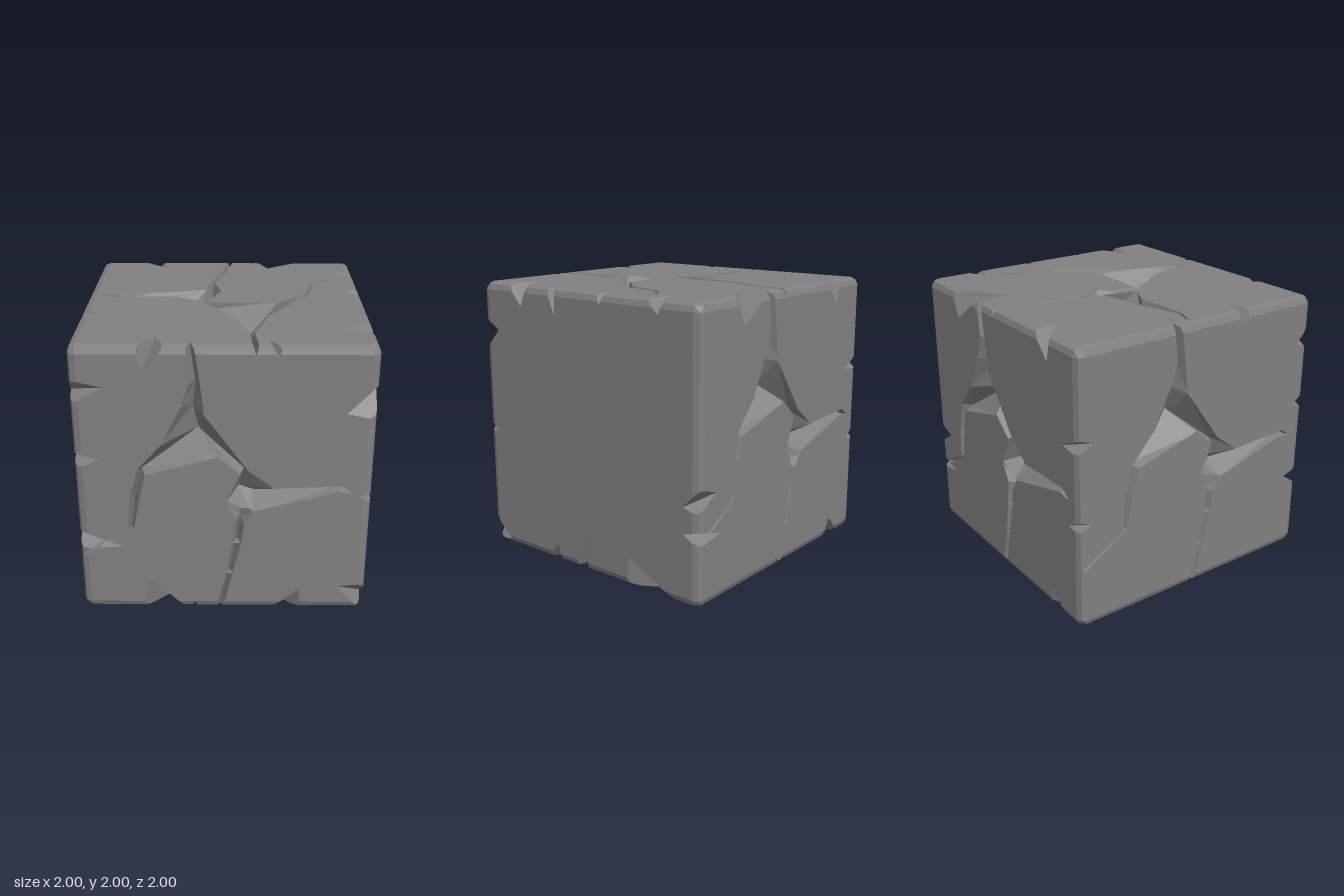
import * as THREE from 'three';
import { ConvexGeometry } from 'three/addons/geometries/ConvexGeometry.js';

const V = (x, y, z) => new THREE.Vector3(x, y, z);
const EPS = 1e-5;

// Convex solid as outward triangles plus their planes
function solid(points) {
  const p = new ConvexGeometry(points).getAttribute('position');
  const tris = [], planes = [];
  for (let i = 0; i < p.count; i += 3) {
    const t = [0, 1, 2].map((k) => V().fromBufferAttribute(p, i + k));
    const area = t[1].clone().sub(t[0]).cross(t[2].clone().sub(t[0])).length();
    if (area < 1e-7) continue;
    tris.push(t);
    planes.push(new THREE.Plane().setFromCoplanarPoints(...t));
  }
  return { tris, planes, box: new THREE.Box3().setFromPoints(points) };
}

// Split a convex polygon by a plane into [outside, inside]
function split(poly, plane) {
  const d = poly.map((p) => plane.distanceToPoint(p));
  if (Math.max(...d) <= EPS) return [null, poly];
  if (Math.min(...d) >= -EPS) return [poly, null];
  const out = [], inn = [];
  poly.forEach((p, i) => {
    const j = (i + 1) % poly.length;
    if (d[i] >= -EPS) out.push(p);
    if (d[i] <= EPS) inn.push(p);
    if ((d[i] > EPS && d[j] < -EPS) || (d[i] < -EPS && d[j] > EPS)) {
      const m = p.clone().lerp(poly[j], d[i] / (d[i] - d[j]));
      out.push(m);
      inn.push(m);
    }
  });
  return [out.length > 2 ? out : null, inn.length > 2 ? inn : null];
}

function keepInside(poly, planes) {
  for (const pl of planes) {
    poly = split(poly, pl)[1];
    if (!poly) return null;
  }
  return poly;
}

// Pieces of a polygon left outside a cutter
function keepOutside(poly, cutter) {
  if (!cutter.box.intersectsBox(new THREE.Box3().setFromPoints(poly))) return [poly];
  const pieces = [];
  let rest = poly;
  for (const pl of cutter.planes) {
    const [out, inn] = split(rest, pl);
    if (out) pieces.push(out);
    if (!inn) return [poly];
    rest = inn;
  }
  return pieces;
}

// Convex block minus all the convex cutters
function carve(block, cutters) {
  const result = [];
  const cut = (poly, self) => {
    let polys = [poly];
    for (const c of cutters) if (c !== self) polys = polys.flatMap((q) => keepOutside(q, c));
    result.push(...polys);
  };
  block.tris.forEach((t) => cut(t, null));
  for (const c of cutters) {
    for (const t of c.tris) {
      const q = keepInside([t[2], t[1], t[0]], block.planes);
      if (q) cut(q, c);
    }
  }
  const pos = [];
  for (const q of result) {
    for (let i = 1; i < q.length - 1; i++) {
      for (const p of [q[0], q[i], q[i + 1]]) pos.push(p.x, p.y, p.z);
    }
  }
  const g = new THREE.BufferGeometry();
  g.setAttribute('position', new THREE.Float32BufferAttribute(pos, 3));
  g.computeVertexNormals();
  return g;
}

// Cube with two-step bevels: every corner has the same points, mirrored
function blockPoints() {
  const [i, m, c] = [.945, .984, .968];
  const corner = [[1, i, i], [i, 1, i], [i, i, 1], [m, m, i], [m, i, m], [i, m, m], [c, c, c]];
  const signs = [-1, 1];
  return signs.flatMap((x) => signs.flatMap((y) => signs.flatMap((z) =>
    corner.map((p) => V(x * p[0], y * p[1], z * p[2])))));
}

// Crack arms as stations: one bank u,v, other bank u,v, and the floor u,v where it is off centre
const sideCrack = [
  [[-.25, 1.02, -.19, 1.02], [-.22, .75, -.15, .72], [-.28, .58, -.13, .52],
    [-.41, .31, -.04, .22, -.17, .36], [-.58, .12, -.53, .08], [-.64, -.1, -.57, -.08],
    [-.66, -.35, -.62, -.34], [-.97, -.53, -.97, -.56]],
  [[-.13, .52, -.04, .22, -.17, .36], [.16, .12, .11, .09], [.33, -.02, .02, -.12, .1, -.08],
    [.33, -.02, .19, -.2, .2, -.1], [.8, 0, .78, -.04], [.87, -.05, .86, -.06]],
  [[.02, -.13, .2, -.2, .1, -.13], [.08, -.26, .14, -.3], [.06, -.45, .12, -.45],
    [.02, -.7, .06, -.7], [-.06, -1.02, -.01, -1.02]],
];
const topCrack = [
  [[.02, 1.02, .06, 1.02], [-.02, .72, .01, .7], [-.12, .35, -.08, .36], [-.14, .2, -.03, .18],
    [-.15, -.1, -.12, -.1], [.07, -.42, .37, -.13, .14, -.36], [.1, -.5, .26, -.55],
    [.16, -.72, .2, -.74], [.19, -1.02, .23, -1.02]],
  [[-.14, .2, -.2, -.04, -.12, .12], [-.5, .13, -.38, .04], [-.78, .05, -.78, .02], [-.92, .085, -.91, .07]],
  [[.37, -.13, .22, -.52, .14, -.36], [.57, .08, .61, .07], [.66, .4, .68, .37], [.81, .5, .8, .48]],
];

// V-shaped groove segments between stations; wider stations are deeper
function crack(arms, U, W, N) {
  const at = (u, v, n) => V().addScaledVector(U, u).addScaledVector(W, v).addScaledVector(N, n);
  const lift = .01;
  const station = ([a, b, c, d, u = (a + c) / 2, v = (b + d) / 2]) => {
    const depth = .3 * Math.sqrt(Math.hypot(c - a, d - b));
    const k = 1 + lift / depth;
    return [at(u + (a - u) * k, v + (b - v) * k, 1 + lift),
      at(u + (c - u) * k, v + (d - v) * k, 1 + lift), at(u, v, 1 - depth)];
  };
  return arms.flatMap((arm) => arm.slice(1).map((s, i) => solid([...station(arm[i]), ...station(s)])));
}

// Chips by edge: place along it, half width, reach on the first face, reach on the second, skew
const chips = {
  '+z+y': [[-.47, .11, .2, .18, -.06], [.31, .09, .08, .13, .05]],
  '+z-x': [[.68, .1, .24, .12, .04], [.19, .07, .18, .12, 0], [-.43, .08, .32, .16, -.06]],
  '+z+x': [[.62, .14, .21, .16, -.09], [-.1, .06, .09, .11, .03], [-.92, .14, .21, .2, .12]],
  '+z-y': [[-.42, .17, .27, .2, -.11], [.44, .12, .18, .14, .1]],
  '+x+y': [[.64, .11, .16, .26, -.04], [.3, .05, .21, .09, -.04], [-.16, .05, .08, .14, 0], [-.63, .09, .1, .21, -.04]],
  '+x-z': [[-.26, .1, .14, .2, -.06], [-.52, .06, .14, .25, .02]],
  '+x-y': [[-.6, .25, .22, .2, .22], [.06, .07, .37, .14, -.08], [.33, .08, .14, .12, -.04]],
  '+y-z': [[-.6, .11, .21, .18, .13], [.44, .2, .29, .2, -.21]],
  '+y-x': [[.36, .07, .17, .12, 0]],
  '-z-x': [[.35, .07, .2, .12, -.04], [-.22, .06, .14, .1, -.03]],
  '-z-y': [[-.7, .12, .16, .16, .04]],
};

function chip(edge, [p, w, a, b, skew]) {
  const [ia, ib] = ['xyz'.indexOf(edge[1]), 'xyz'.indexOf(edge[3])];
  const at = (t, ca, cb) => {
    const q = V();
    q.setComponent(ia, edge[0] === '+' ? ca : -ca);
    q.setComponent(ib, edge[2] === '+' ? cb : -cb);
    return q.setComponent(3 - ia - ib, t);
  };
  const o = 1.01;
  return solid([at(p - w, o, o), at(p + w, o, o), at(p + skew, o, 1 - a), at(p - skew / 2, 1 - b, o)]);
}

export function createModel() {
  const stone = new THREE.MeshStandardMaterial({ color: 0x808080 });
  stone.name = 'stone grey';
  const X = V(1, 0, 0), Y = V(0, 1, 0), Z = V(0, 0, 1);
  const neg = (v) => v.clone().negate();
  const cutters = [
    ...crack(sideCrack, X, Y, Z), // front
    ...crack(sideCrack, neg(X), Y, neg(Z)), // back
    ...crack(sideCrack, Z, Y, neg(X)), // right side
    ...crack(topCrack, X, neg(Z), Y), // top
    ...crack(topCrack, neg(X), neg(Z), neg(Y)), // underside
    ...Object.entries(chips).flatMap(([edge, list]) => list.map((c) => chip(edge, c))),
  ];
  const mesh = new THREE.Mesh(carve(solid(blockPoints()), cutters), stone);
  mesh.name = 'crackedStoneBlock';
  mesh.position.y = 1;
  const group = new THREE.Group();
  group.name = 'stoneBlock';
  group.add(mesh);
  return group;
}
